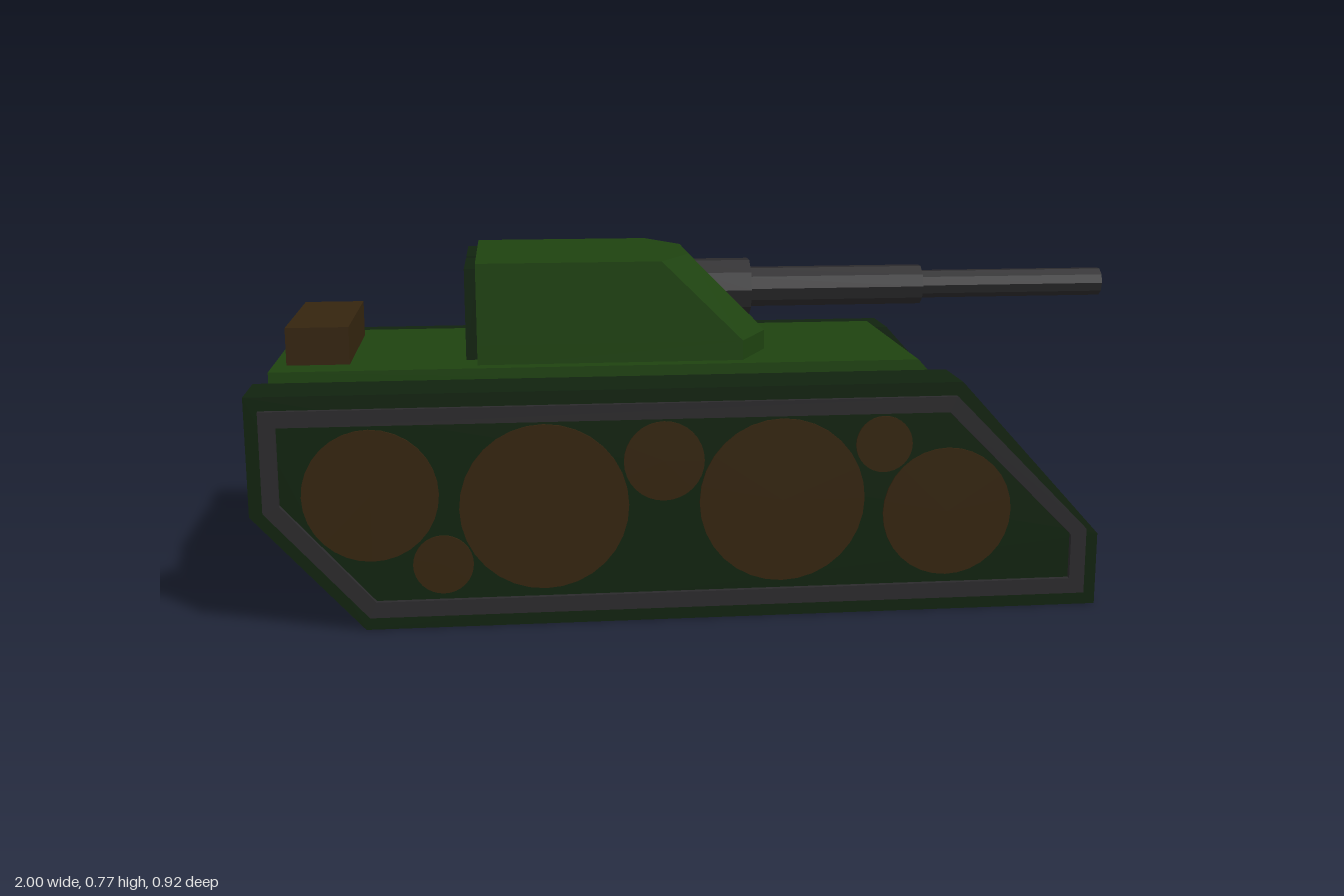
import * as THREE from 'three';

const paint = (color) => new THREE.MeshStandardMaterial({ color, flatShading: true });
const green = paint(0x1e4210);
const darkGreen = paint(0x11230f);
const metal = paint(0x2b2a2c);
const brown = paint(0x35250f);

export function createModel() {
  const model = new THREE.Group();
  model.name = 'tank';

  const add = (name, geometry, material, parent = model) => {
    const mesh = new THREE.Mesh(geometry, material);
    mesh.name = name;
    parent.add(mesh);
    return mesh;
  };
  const toPoints = (list) => list.map(([x, y]) => new THREE.Vector2(x, y));

  // Side profile extruded across the width from z0 to z1
  const prism = (profile, z0, z1, hole) => {
    const shape = new THREE.Shape(toPoints(profile));
    if (hole) shape.holes.push(new THREE.Path(toPoints(hole)));
    return new THREE.ExtrudeGeometry(shape, { depth: z1 - z0, bevelEnabled: false }).translate(0, 0, z0);
  };
  // Box from minimum and maximum corners
  const block = (x0, x1, y0, y1, z0, z1) =>
    new THREE.BoxGeometry(x1 - x0, y1 - y0, z1 - z0)
      .translate((x0 + x1) / 2, (y0 + y1) / 2, (z0 + z1) / 2);

  // Hull and its raised deck
  const hullProfile = [[-0.97, 0.49], [-0.97, 0.27], [-0.755, 0.03], [0.835, 0.03], [0.835, 0.175], [0.53, 0.49]];
  add('hull', prism(hullProfile, -0.302, 0.302), green);
  add('deck', prism([[-0.97, 0.54], [-0.97, 0.48], [0.538, 0.48], [0.485, 0.54]], -0.28, 0.28), green);

  // Tracks: casing, raised rim and wheel discs on each side
  const casing = [[-1, 0.52], [-1, 0.26], [-0.765, 0], [0.865, 0], [0.865, 0.165], [0.543, 0.52]];
  const rimOuter = [[-0.97, 0.49], [-0.97, 0.27], [-0.755, 0.03], [0.835, 0.03], [0.835, 0.18], [0.53, 0.49]];
  const rimInner = [[-0.935, 0.455], [-0.935, 0.285], [-0.74, 0.065], [0.8, 0.065], [0.8, 0.167], [0.513, 0.455]];
  const wheels = [
    [-0.745, 0.3, 0.145], [-0.375, 0.265, 0.183], [0.145, 0.265, 0.183], [0.515, 0.228, 0.145],
    [-0.595, 0.143, 0.065], [-0.115, 0.36, 0.088], [0.37, 0.385, 0.063],
  ];
  for (const side of [1, -1]) {
    const track = new THREE.Group();
    track.name = side > 0 ? 'leftTrack' : 'rightTrack';
    model.add(track);
    const span = (a, b) => (side > 0 ? [a, b] : [-b, -a]);
    add('trackCasing', prism(casing, ...span(0.302, 0.45)), darkGreen, track);
    const [r0, r1] = span(0.445, 0.462);
    add('trackRim', prism(rimOuter, r0, r1, rimInner), metal, track);
    for (const [x, y, r] of wheels) {
      const disc = new THREE.CylinderGeometry(r, r, 0.02, 32).rotateX(Math.PI / 2);
      add('wheel', disc, brown, track).position.set(x, y, side * 0.444);
    }

    // Rear panels on the hull and turret
    add('hullRearPanel', block(-0.99, -0.96, 0.27, 0.475, ...span(0.018, 0.262)), darkGreen);
    add('turretRearPanel', block(-0.54, -0.51, 0.55, 0.755, ...span(0.02, 0.227)), darkGreen);
  }

  // Turret: stacked six-sided outlines, sloping back at the front
  const outline = (y, shoulder, nose) => [
    [-0.515, y, 0.242], [shoulder, y, 0.242], [nose, y, 0.1],
    [nose, y, -0.1], [shoulder, y, -0.242], [-0.515, y, -0.242],
  ];
  add('turret', loft([outline(0.535, 0.085, 0.155), outline(0.585, 0.085, 0.155), outline(0.768, -0.1, -0.025)]), green);

  // Gun: ten-sided stepped barrel
  for (const [name, x0, x1, r] of [
    ['gunCollar', 0, 0.13, 0.07], ['gunSleeve', 0.1, 0.55, 0.048], ['gunBarrel', 0.5, 1, 0.034],
  ]) {
    const tube = new THREE.CylinderGeometry(r, r, x1 - x0, 10).rotateZ(-Math.PI / 2);
    add(name, tube, metal).position.set((x0 + x1) / 2, 0.675, 0);
  }

  // Stowage box on the rear deck
  add('stowageBox', block(-0.94, -0.8, 0.535, 0.625, -0.2, 0.2), brown);

  return model;
}

// Closed solid through matching rings, ordered from bottom to top
function loft(rings) {
  const n = rings[0].length;
  const index = [];
  for (let k = 0; k < rings.length - 1; k++) {
    for (let i = 0; i < n; i++) {
      const a = k * n + i, b = k * n + ((i + 1) % n);
      index.push(a, b, b + n, a, b + n, a + n);
    }
  }
  const top = (rings.length - 1) * n;
  for (let i = 1; i < n - 1; i++) {
    index.push(top, top + i, top + i + 1, 0, i + 1, i);
  }
  const geometry = new THREE.BufferGeometry();
  geometry.setAttribute('position', new THREE.Float32BufferAttribute(rings.flat(2), 3));
  geometry.setIndex(index);
  const flat = geometry.toNonIndexed();
  flat.computeVertexNormals();
  return flat;
}
